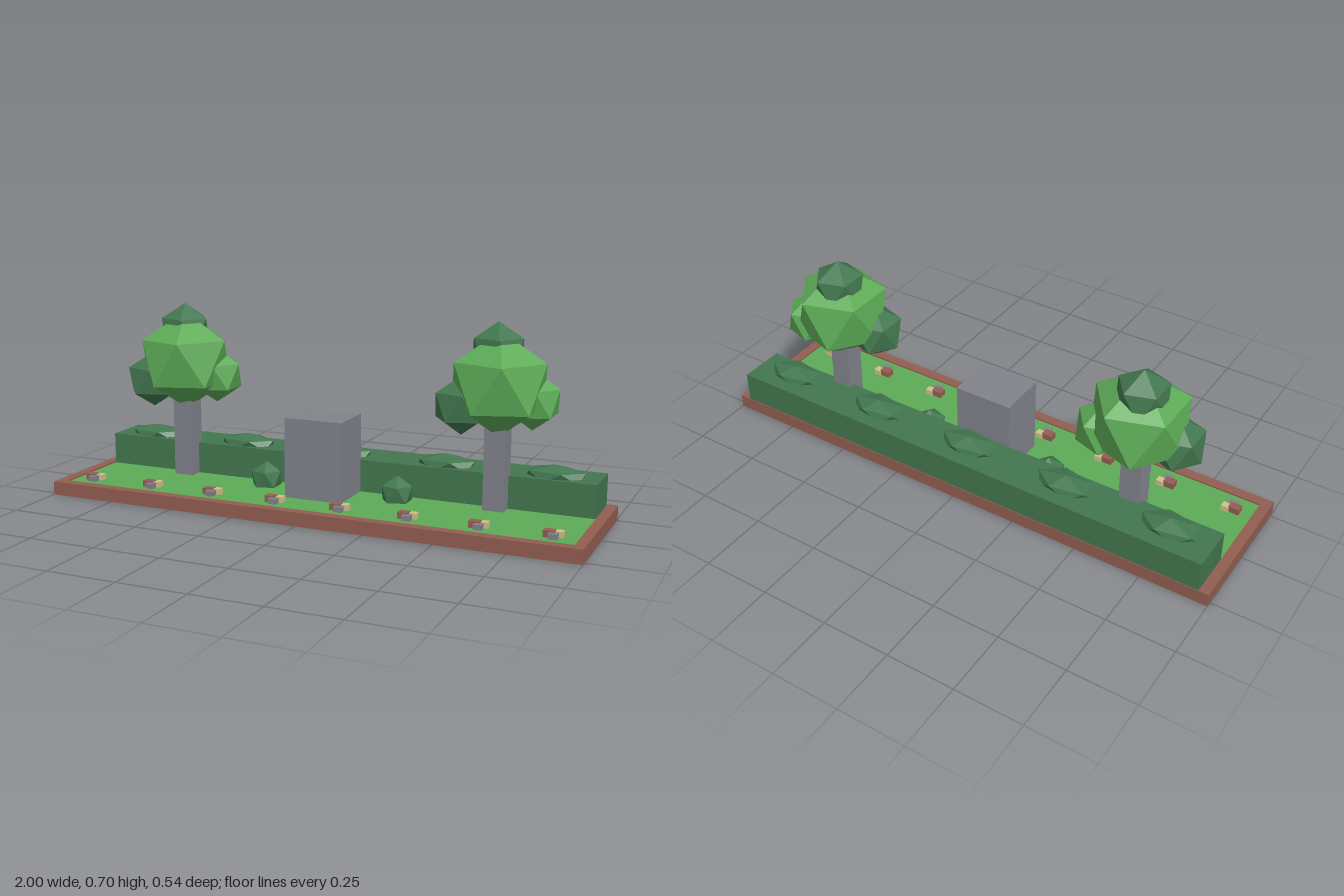
import * as THREE from 'three';

export function createModel() {
  const root = new THREE.Group();
  root.name = 'gardenBed';

  const mat = (name, color) => {
    const m = new THREE.MeshStandardMaterial({ color, flatShading: true });
    m.name = name;
    return m;
  };
  const brick = mat('brick', 0x935e51);
  const grass = mat('leafGreen', 0x5dab57);
  const dark = mat('hedgeGreen', 0x42774f);
  const stone = mat('stoneGrey', 0x82838c);
  const sand = mat('sand', 0xd0c28c);

  // Box given by its min and max corners
  const box = (name, m, x0, x1, y0, y1, z0, z1, parent = root) => {
    const mesh = new THREE.Mesh(new THREE.BoxGeometry(x1 - x0, y1 - y0, z1 - z0), m);
    mesh.position.set((x0 + x1) / 2, (y0 + y1) / 2, (z0 + z1) / 2);
    mesh.name = name;
    parent.add(mesh);
    return mesh;
  };

  // Faceted leaf ball standing on a vertex, upper ring pointing to +x
  const ballGeo = new THREE.IcosahedronGeometry(1, 0);
  ballGeo.rotateZ(-Math.atan(2 / (1 + Math.sqrt(5))));
  const ball = (name, m, x, y, z, rx, ry = rx, rz = rx, parent = root) => {
    const mesh = new THREE.Mesh(ballGeo, m);
    mesh.position.set(x, y, z);
    mesh.scale.set(rx, ry, rz);
    mesh.name = name;
    parent.add(mesh);
  };

  // Brick border frame around the lawn
  const rect = (P, w, d) => new P([[-w, -d], [w, -d], [w, d], [-w, d]].map(([x, y]) => new THREE.Vector2(x, y)));
  const frame = rect(THREE.Shape, 1, 0.27);
  frame.holes.push(rect(THREE.Path, 0.963, 0.232));
  const frameGeo = new THREE.ExtrudeGeometry(frame, { depth: 0.05, bevelEnabled: false });
  frameGeo.rotateX(-Math.PI / 2);
  const border = new THREE.Mesh(frameGeo, brick);
  border.name = 'border';
  root.add(border);
  box('lawn', grass, -0.963, 0.963, 0.003, 0.044, -0.232, 0.232);

  // Hedge with leafy mounds on top
  box('hedge', dark, -0.962, 0.96, 0.04, 0.163, -0.267, -0.093);
  for (let i = -2; i <= 2; i++) ball('hedgeMound', dark, i * 0.4, 0.165, -0.161, 0.12, 0.038, 0.069);

  // Central stone block
  box('stoneBlock', stone, -0.124, 0.096, 0.04, 0.336, -0.093, 0.089);

  // Small bushes on each side of the block
  for (const s of [-1, 1]) ball('bush', dark, s * 0.26, 0.072, -0.038, 0.063);

  // Two matching trees
  for (const x of [-0.618, 0.613]) {
    const tree = new THREE.Group();
    tree.name = 'tree';
    tree.position.set(x, 0, -0.078);
    root.add(tree);
    box('trunk', stone, -0.038, 0.038, 0.03, 0.4, -0.038, 0.038, tree);
    ball('crown', grass, 0, 0.485, 0, 0.185, 0.185, 0.185, tree);
    ball('topLeaves', dark, -0.013, 0.6, -0.022, 0.1, 0.1, 0.1, tree);
    ball('leftLeaves', grass, 0.11, 0.43, -0.039, 0.104, 0.104, 0.104, tree);
    ball('rightLeaves', dark, -0.12, 0.411, 0.041, 0.105, 0.105, 0.105, tree);
    // Root plug showing under the bed
    const plug = new THREE.Mesh(new THREE.CylinderGeometry(0.04, 0.04, 0.03, 12), brick);
    plug.position.y = 0.015;
    plug.name = 'rootPlug';
    tree.add(plug);
  }

  // Row of little block clusters along the front edge
  for (let i = 0; i < 8; i++) {
    const g = new THREE.Group();
    g.name = 'blockCluster';
    g.position.x = -0.898 + i * 0.252;
    root.add(g);
    box('brickBlock', brick, -0.022, 0.018, 0.04, 0.067, 0.143, 0.174, g);
    box('stoneChip', stone, 0, 0.03, 0.04, 0.063, 0.167, 0.192, g);
    box('sandBlock', sand, 0.015, 0.043, 0.04, 0.065, 0.137, 0.163, g);
  }

  return root;
}
